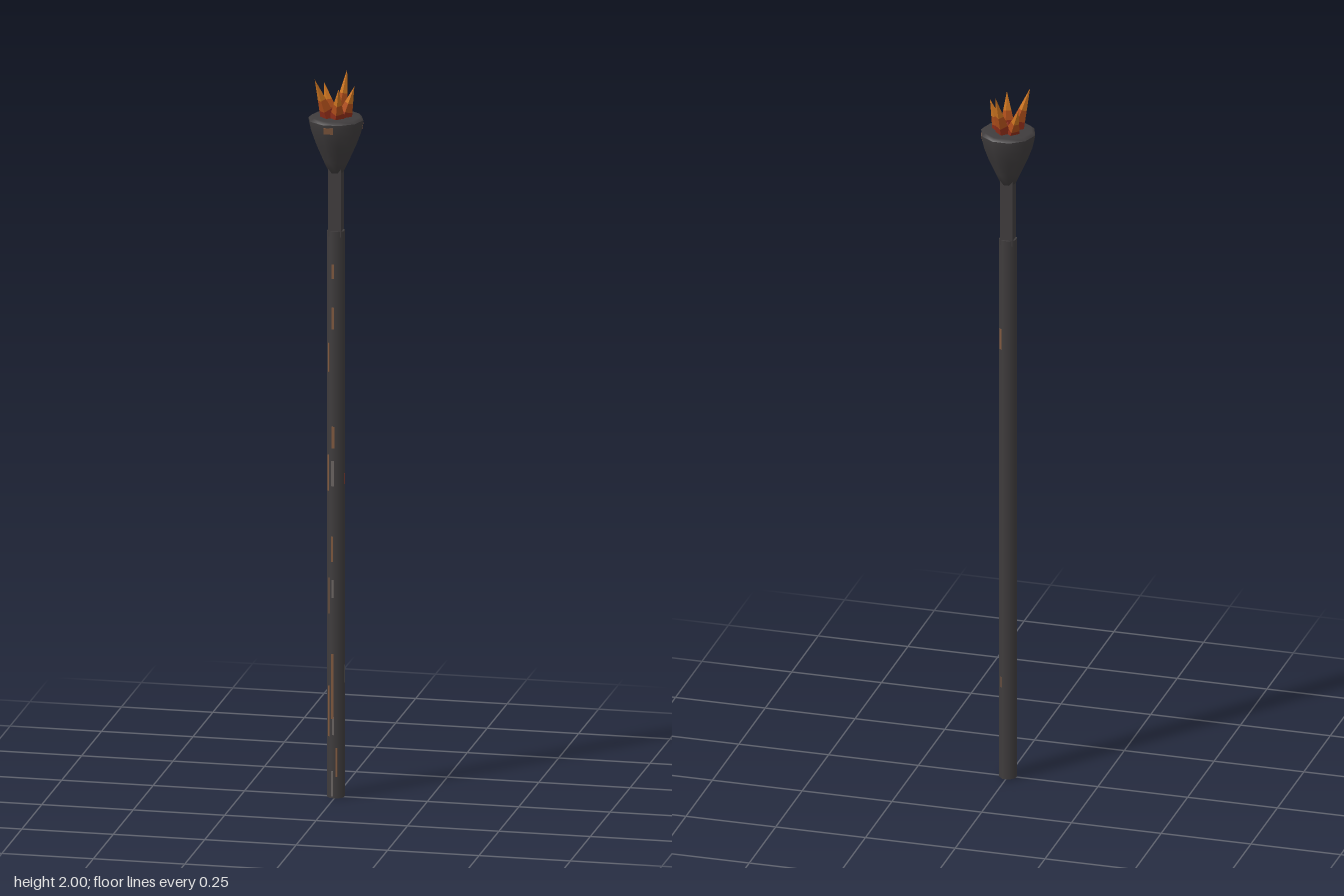
import * as THREE from 'three';

function flat(name, color) {
  const material = new THREE.MeshStandardMaterial({ color });
  material.name = name;
  return material;
}
const iron = flat('dark iron', 0x3f3c3d);
const worn = flat('worn grey', 0x6a6462);
const rust = flat('rust brown', 0x80583e);
const orange = flat('flame orange', 0xc9721f);
const burnt = flat('burnt orange', 0xab4c1a);
const ember = flat('ember red', 0x8c2c18);

function add(parent, name, geometry, material) {
  const mesh = new THREE.Mesh(geometry, material);
  mesh.name = name;
  parent.add(mesh);
  return mesh;
}

// Ten-sided turned form with a corner on +x
function turned(profile) {
  const points = profile.map(([r, y]) => new THREE.Vector2(r, y));
  return new THREE.LatheGeometry(points, 10, Math.PI / 2);
}

// Thin plate on a side face; angle is measured from +z towards +x, in degrees
function addPlate(parent, name, material, [angle, x, y, w, h], radius) {
  const pivot = new THREE.Group();
  pivot.name = name;
  pivot.rotation.y = THREE.MathUtils.degToRad(angle);
  parent.add(pivot);
  const plate = add(pivot, name, new THREE.BoxGeometry(w, h, 0.002), material);
  plate.position.set(x, y, radius);
  return plate;
}

// Four-sided spike, red at the root and orange at the tip
function addFlame(parent, tip) {
  const end = new THREE.Vector3(...tip);
  const out = new THREE.Vector3(end.x, 0, end.z).normalize();
  const base = out.clone().multiplyScalar(0.021).setY(1.878);
  const axis = end.clone().sub(base);
  const length = axis.length();
  const geometry = new THREE.ConeGeometry(0.023, length, 4, 4, true).toNonIndexed();
  geometry.computeVertexNormals();
  geometry.clearGroups();
  const position = geometry.attributes.position;
  for (let i = 0; i < position.count; i += 3) {
    const middle = (position.getY(i) + position.getY(i + 1) + position.getY(i + 2)) / 3;
    const band = Math.floor((middle / length + 0.5) * 4);
    geometry.addGroup(i, 3, Math.min(band, 2));
  }
  const flame = add(parent, 'flame', geometry, [ember, burnt, orange]);
  flame.position.copy(base).addScaledVector(axis, 0.5);
  flame.quaternion.setFromUnitVectors(new THREE.Vector3(0, 1, 0), axis.normalize());
}

export function createModel() {
  const model = new THREE.Group();
  model.name = 'torch';

  // Pole: eight-sided shaft with a square neck
  const shaft = add(model, 'shaft', new THREE.CylinderGeometry(0.0245, 0.0245, 1.57, 8), iron);
  shaft.position.y = 0.785;
  shaft.rotation.y = Math.PI / 8;
  const neck = add(model, 'neck', new THREE.BoxGeometry(0.035, 0.19, 0.035), iron);
  neck.position.y = 1.65;

  // Rust streaks on the shaft: angle, x, y, width, height
  const rustStreaks = [
    [0, -0.005, 0.31, 0.007, 0.18], [0, 0.006, 0.1, 0.005, 0.08], [0, -0.006, 0.69, 0.006, 0.07],
    [0, -0.003, 1.0, 0.007, 0.06], [0, -0.004, 1.33, 0.007, 0.06], [0, -0.004, 1.46, 0.007, 0.04],
    [-45, 0, 0.24, 0.006, 0.14], [-45, 0.002, 0.56, 0.005, 0.1], [-45, -0.002, 0.9, 0.006, 0.1],
    [-45, 0, 1.22, 0.005, 0.08], [135, 0, 1.28, 0.01, 0.06], [135, 0.003, 0.28, 0.004, 0.03],
  ];
  rustStreaks.forEach((s) => addPlate(model, 'rustStreak', rust, s, 0.0222));

  // Bare metal scratches
  const scratches = [
    [0, -0.006, 0.04, 0.006, 0.07], [0, -0.003, 0.2, 0.005, 0.05], [0, -0.004, 0.9, 0.008, 0.07],
    [0, -0.004, 0.58, 0.006, 0.05], [90, 0.003, 0.34, 0.005, 0.05],
  ];
  scratches.forEach((s) => addPlate(model, 'scratch', worn, s, 0.0222));

  // Red fleck on the left side
  addPlate(model, 'redFleck', ember, [90, 0.006, 0.88, 0.004, 0.03], 0.0222);

  // Flared cup
  add(model, 'cup', turned([
    [0, 1.73], [0.02, 1.731], [0.036, 1.765], [0.056, 1.81], [0.068, 1.842], [0.074, 1.868], [0.075, 1.878],
  ]), iron);
  add(model, 'cupTop', turned([[0.075, 1.878], [0.066, 1.886], [0, 1.886]]), iron);

  // Rust patches under the rim, leaning with the cup wall
  for (const angle of [0, 108]) {
    const patch = addPlate(model, 'cupRust', rust, [angle, -0.006, 1.861, 0.026, 0.018], 0.0692);
    patch.rotation.x = 0.2;
  }

  // Ring of flames leaning outward
  const tips = [
    [0.018, 2.0, -0.058], [-0.042, 1.965, -0.044], [-0.049, 1.995, 0.042],
    [0.018, 1.975, 0.05], [0.05, 1.97, -0.002],
  ];
  const flames = new THREE.Group();
  flames.name = 'flames';
  model.add(flames);
  tips.forEach((tip) => addFlame(flames, tip));

  // Ember heart between the flames
  const heart = add(flames, 'emberHeart', new THREE.ConeGeometry(0.024, 0.03, 5), ember);
  heart.position.y = 1.895;

  return model;
}
